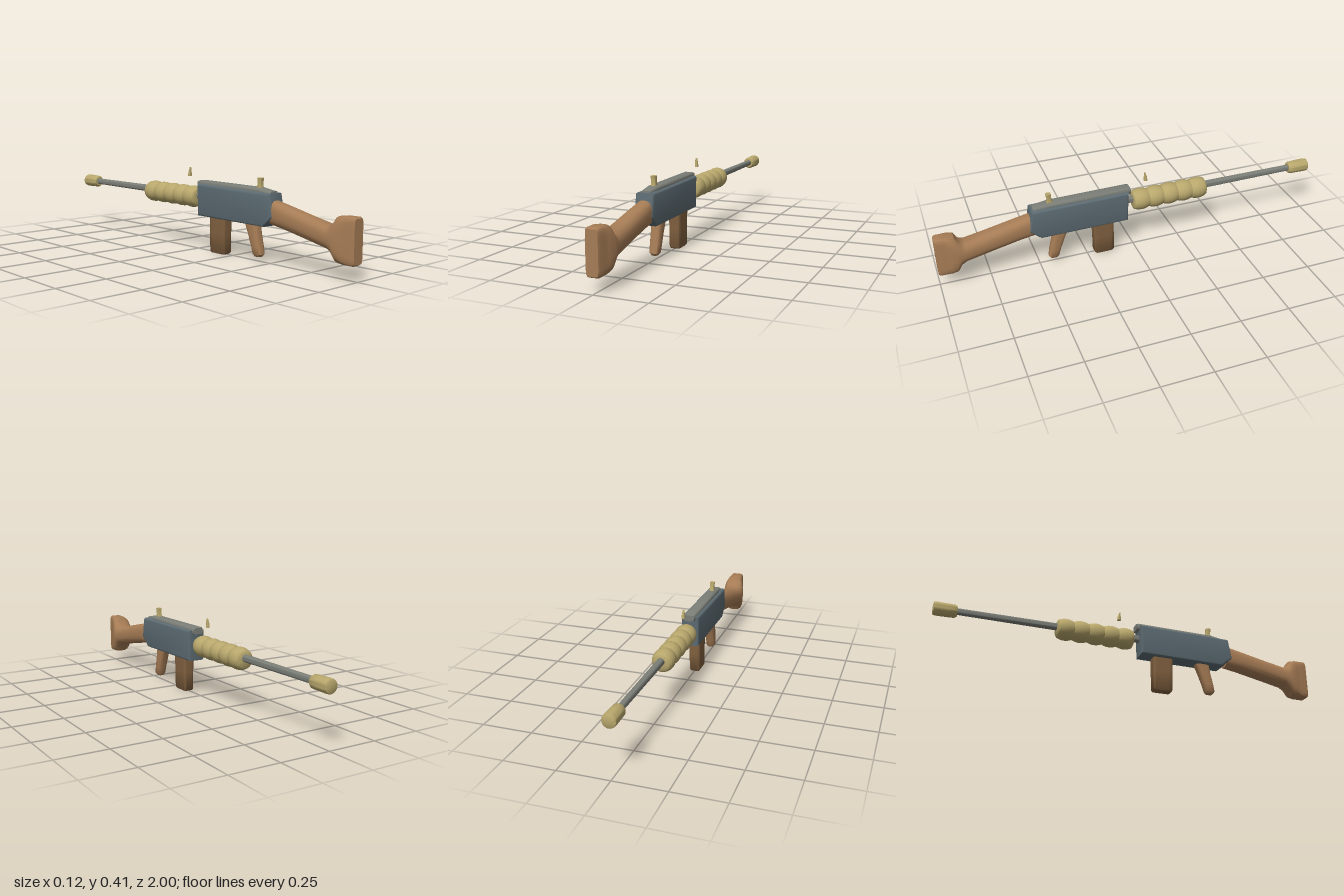
import * as THREE from 'three';
import { toCreasedNormals } from 'three/addons/utils/BufferGeometryUtils.js';

const BROWN = 0xa67c55, DARK_BROWN = 0x80603f, STEEL = 0x5c6b72, GREY = 0x7c7f78, TAN = 0xb8a76c;

// Rounded-box rings along z: [z, centreY, halfWidth, halfHeight, roundness (1 = ellipse, small = square)]
function loft(sections, sides = 32) {
  const pos = [], idx = [];
  const power = (v, e) => Math.sign(v) * Math.abs(v) ** e;
  for (const [z, cy, hw, hh, e] of sections) {
    for (let j = 0; j < sides; j++) {
      const a = ((j + 0.5) / sides) * Math.PI * 2;
      pos.push(hw * power(Math.cos(a), e), cy + hh * power(Math.sin(a), e), z);
    }
  }
  const n = sections.length;
  for (let i = 0; i < n - 1; i++) {
    for (let j = 0; j < sides; j++) {
      const k = (j + 1) % sides;
      const a = i * sides + j, b = i * sides + k, c = b + sides, d = a + sides;
      idx.push(a, b, c, a, c, d);
    }
  }
  // end caps
  const first = pos.length / 3, s0 = sections[0], s1 = sections[n - 1];
  pos.push(0, s0[1], s0[0], 0, s1[1], s1[0]);
  for (let j = 0; j < sides; j++) {
    const k = (j + 1) % sides, top = (n - 1) * sides;
    idx.push(first, k, j, first + 1, top + j, top + k);
  }
  const g = new THREE.BufferGeometry();
  g.setAttribute('position', new THREE.Float32BufferAttribute(pos, 3));
  g.setIndex(idx);
  return toCreasedNormals(g, 0.8);
}

// Same rings stacked upwards: [y, centreZ, halfWidth, halfDepth, roundness]
const loftUp = (sections) =>
  loft(sections.map(([y, z, hw, hd, e]) => [y, -z, hw, hd, e])).rotateX(-Math.PI / 2);

// Turned part along -z from [z, radius] points
const turned = (points, y) =>
  toCreasedNormals(
    new THREE.LatheGeometry(points.map(([z, r]) => new THREE.Vector2(r, -z)), 28), 0.8
  ).rotateX(-Math.PI / 2).translate(0, y, 0);

// Side profile of [z, y] points, extruded across x
function slab(points, halfWidth, bevel) {
  const shape = new THREE.Shape(points.map(([z, y]) => new THREE.Vector2(z, y)));
  const depth = 2 * (halfWidth - bevel);
  const g = new THREE.ExtrudeGeometry(shape, {
    depth, bevelThickness: bevel, bevelSize: bevel, bevelOffset: -bevel, bevelSegments: 3,
  });
  return toCreasedNormals(g.translate(0, 0, -depth / 2).rotateY(-Math.PI / 2), 0.6);
}

export function createModel() {
  const model = new THREE.Group();
  const add = (name, geometry, color) => {
    const mesh = new THREE.Mesh(geometry, new THREE.MeshStandardMaterial({ color }));
    mesh.name = name;
    model.add(mesh);
  };

  // Stock, flaring into the upright butt
  add('stock', loft([
    [0.52, 0.245, 0.04, 0.058, 0.7],
    [0.6, 0.23, 0.046, 0.056, 0.8],
    [0.75, 0.198, 0.05, 0.054, 0.8],
    [0.86, 0.175, 0.055, 0.053, 0.8],
    [0.885, 0.172, 0.058, 0.066, 0.8],
    [0.905, 0.172, 0.057, 0.1, 0.7],
    [0.935, 0.172, 0.046, 0.104, 0.45],
    [0.96, 0.172, 0.037, 0.104, 0.3],
    [0.99, 0.172, 0.034, 0.104, 0.25],
    [1.0, 0.172, 0.029, 0.098, 0.25],
  ]), BROWN);

  // Receiver body and the raised ridge along its top
  add('receiver', slab([
    [0.49, 0.175], [0.55, 0.225], [0.53, 0.332], [0.035, 0.338], [0.04, 0.178],
  ], 0.046, 0.012), STEEL);
  add('topRidge', loft([
    [0.02, 0.335, 0.026, 0.016, 0.4],
    [0.03, 0.335, 0.03, 0.019, 0.45],
    [0.44, 0.333, 0.028, 0.019, 0.45],
    [0.52, 0.325, 0.024, 0.016, 0.5],
  ]), GREY);

  // Rear sight on the ridge, and the small floating front sight
  add('rearSight', loftUp([
    [0.34, 0.43, 0.014, 0.02, 0.4],
    [0.365, 0.432, 0.011, 0.011, 0.4],
    [0.397, 0.435, 0.012, 0.013, 0.4],
  ]), TAN);
  add('frontSight', loftUp([
    [0.367, -0.068, 0.008, 0.009, 0.5],
    [0.39, -0.067, 0.007, 0.007, 0.5],
    [0.412, -0.064, 0.004, 0.002, 0.5],
  ]), TAN);

  // Grip and magazine below the receiver
  add('grip', loftUp([
    [0.022, 0.425, 0.014, 0.018, 0.6],
    [0.034, 0.426, 0.023, 0.026, 0.6],
    [0.07, 0.418, 0.025, 0.028, 0.6],
    [0.13, 0.4, 0.026, 0.032, 0.6],
    [0.2, 0.38, 0.027, 0.042, 0.6],
  ]), BROWN);
  add('magazine', loftUp([
    [0, 0.163, 0.023, 0.045, 0.25],
    [0.008, 0.163, 0.028, 0.051, 0.25],
    [0.1, 0.163, 0.029, 0.052, 0.25],
    [0.2, 0.165, 0.03, 0.054, 0.25],
  ]), DARK_BROWN);

  // Barrel
  add('barrel', turned([[0.06, 0], [0.06, 0.019], [-0.45, 0.018], [-0.95, 0.016], [-0.95, 0]], 0.274), GREY);

  // Handguard with five swellings
  const guard = [[0.004, 0], [0.004, 0.036]];
  for (let i = 0; i <= 60; i++) {
    const t = i / 60;
    guard.push([-0.39 * t, 0.046 + 0.009 * Math.abs(Math.sin(t * 5 * Math.PI)) ** 0.8]);
  }
  guard.push([-0.396, 0.036], [-0.396, 0]);
  add('handguard', turned(guard, 0.265), TAN);

  // Muzzle sleeve
  add('muzzle', turned([
    [-0.885, 0], [-0.885, 0.025], [-0.897, 0.032], [-0.93, 0.033],
    [-0.985, 0.034], [-0.997, 0.032], [-1, 0.027], [-1, 0],
  ], 0.273), TAN);

  return model;
}
